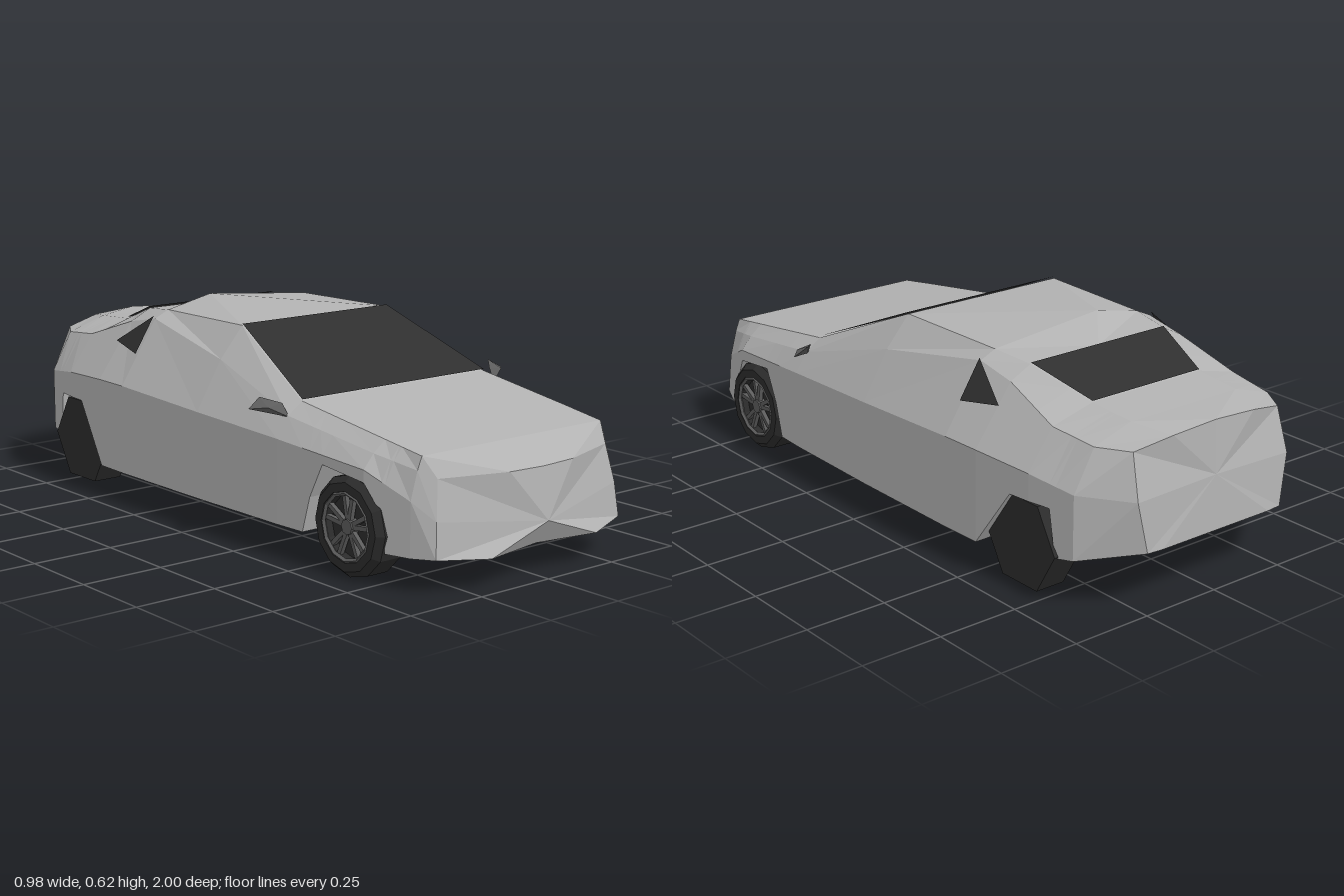
import * as THREE from 'three';
import { ConvexGeometry } from 'three/addons/geometries/ConvexGeometry.js';

const mat = (name, color, side = THREE.FrontSide) => {
  const m = new THREE.MeshStandardMaterial({ color, side });
  m.name = name;
  return m;
};

// Flat-shaded mesh with a name
function part(name, geometry, material) {
  const g = geometry.index ? geometry.toNonIndexed() : geometry;
  g.computeVertexNormals();
  const mesh = new THREE.Mesh(g, material);
  mesh.name = name;
  return mesh;
}

function fromTriangles(tris) {
  const g = new THREE.BufferGeometry();
  g.setAttribute('position', new THREE.Float32BufferAttribute(tris.flat(2), 3));
  return g;
}

// Key stations along the car: z, then x and y of the belt, shoulder and roof edge
const stations = [
  [0.86, 0.378, 0.25, 0.355, 0.33, 0.34, 0.367],
  [0.72, 0.42, 0.315, 0.385, 0.355, 0.344, 0.387],
  [0.375, 0.44, 0.34, 0.4, 0.4, 0.35, 0.435],
  [0.01, 0.447, 0.355, 0.36, 0.5, 0.28, 0.592],
  [-0.38, 0.447, 0.37, 0.32, 0.565, 0.27, 0.588],
  [-0.51, 0.443, 0.37, 0.32, 0.54, 0.25, 0.575],
  [-0.71, 0.422, 0.36, 0.34, 0.475, 0.2, 0.51],
  [-0.86, 0.393, 0.34, 0.325, 0.46, 0.195, 0.5],
];
// Extra cuts that shape the wheel arches: z and arch height
const archCuts = [[0.785, 0], [0.775, 0.2], [0.72, 0.28], [0.56, 0.3], [0.51, 0.2], [0.48, 0],
  [-0.64, 0.28], [-0.71, 0.28], [-0.78, 0.28], [-0.8, 0]];

// Half cross-section at z, from floor centre round the wheel well and side to roof centre
function section(z, arch) {
  const i = Math.max(1, stations.findIndex((s) => s[0] <= z));
  const a = stations[i - 1], b = stations[i];
  const t = (a[0] - z) / (a[0] - b[0]);
  const [, beltX, beltY, shX, shY, edgeX, edgeY] = a.map((v, k) => THREE.MathUtils.lerp(v, b[k], t));
  const floor = 0.095 + Math.max(0, -0.51 - z) * 0.157;
  const sill = Math.max(floor, arch);
  const top = z === -0.38 ? [-0.11, 0.623] : [0, edgeY];
  return [[0, floor], [0.31, floor], [0.31, sill], [beltX, sill], [beltX, beltY],
    [shX, shY], [edgeX, edgeY], top].map(([x, y]) => [x, y, z]);
}

function bodyGeometry() {
  const nose = [[0, 0.09, 0.95], [0.2, 0.09, 0.985], [0.2, 0.09, 0.985], [0.35, 0.1, 0.93],
    [0.34, 0.2, 0.92], [0.32, 0.31, 0.9], [0.12, 0.31, 0.965], [0, 0.31, 0.975]];
  const tail = [[0, 0.18, -1], [0.2, 0.18, -1], [0.2, 0.18, -1], [0.25, 0.18, -0.995],
    [0.28, 0.33, -0.985], [0.27, 0.46, -0.95], [0.15, 0.485, -0.975], [0, 0.495, -0.98]];
  const plain = stations.map((s) => s[0]).filter((z) => !archCuts.some((c) => c[0] === z));
  const cuts = plain.map((z) => [z, 0]).concat(archCuts).sort((a, b) => b[0] - a[0]);
  const rows = [nose];
  for (const [z, arch] of cuts) rows.push(section(z, arch));
  rows.push(tail);

  const tris = [];
  const last = nose.length - 1;
  const end = rows.length - 1;
  for (const side of [1, -1]) {
    // Centre-line points are shared by both halves
    const at = (i, j) => {
      const [x, y, z] = rows[i][j];
      return [j === 0 || j === last ? x : x * side, y, z];
    };
    const tri = (a, b, c) => tris.push(side > 0 ? [a, b, c] : [a, c, b]);
    for (let j = 0; j < last; j++) {
      for (let i = 0; i < end; i++) {
        tri(at(i, j), at(i + 1, j), at(i + 1, j + 1));
        tri(at(i, j), at(i + 1, j + 1), at(i, j + 1));
      }
      // Front and rear faces, with the lower intake folded under the nose
      tri([0, 0.162, 0.995], at(0, j), at(0, j + 1));
      tri([0, 0.34, -0.99], at(end, j + 1), at(end, j));
    }
  }
  return fromTriangles(tris);
}

// Flat pane lifted slightly off the body
function pane(points, lift) {
  const p = points.map(([x, y, z]) => [x + lift[0], y + lift[1], z + lift[2]]);
  const tris = [];
  for (let i = 1; i < p.length - 1; i++) tris.push([p[0], p[i], p[i + 1]]);
  return fromTriangles(tris);
}

// Four-cornered pane, symmetric about x = 0, from its front and back edges [half width, y, z]
const crossPane = ([fx, fy, fz], [bx, by, bz], lift) =>
  pane([[-fx, fy, fz], [fx, fy, fz], [bx, by, bz], [-bx, by, bz]], lift);

// Front wheel: tyre with a recessed hub and paired spokes, axle along x
function frontWheel(rubber, metal) {
  const wheel = new THREE.Group();
  const profile = [[0, 0.32], [0.135, 0.32], [0.143, 0.335], [0.143, 0.405], [0.125, 0.425],
    [0.1, 0.425], [0.09, 0.395], [0, 0.395]].map(([r, h]) => new THREE.Vector2(r, h));
  const tyre = part('tyre', new THREE.LatheGeometry(profile, 12), rubber);
  tyre.rotation.z = -Math.PI / 2;
  const ring = part('rimRing', new THREE.TorusGeometry(0.095, 0.007, 4, 12), metal);
  ring.rotation.y = Math.PI / 2;
  ring.position.x = 0.42;
  const hub = part('hub', new THREE.CylinderGeometry(0.022, 0.026, 0.025, 8), metal);
  hub.rotation.z = -Math.PI / 2;
  hub.position.x = 0.407;
  wheel.add(tyre, ring, hub);
  for (let i = 0; i < 10; i++) {
    const a = Math.floor(i / 2) * Math.PI * 0.4 + (i % 2 ? 0.2 : -0.2);
    const spoke = part('spoke', new THREE.BoxGeometry(0.014, 0.08, 0.013), metal);
    spoke.position.set(0.408, Math.cos(a) * 0.055, Math.sin(a) * 0.055);
    spoke.rotation.x = a;
    wheel.add(spoke);
  }
  return wheel;
}

export function createModel() {
  const car = new THREE.Group();
  car.name = 'car';
  const paint = mat('bodyGrey', 0xb2b2b2, THREE.DoubleSide);
  const glass = mat('darkGlass', 0x2f2f2f, THREE.DoubleSide);
  const rubber = mat('tyreBlack', 0x2c2c2c);
  const metal = mat('rimGrey', 0x5c5c5c);

  car.add(part('body', bodyGeometry(), paint));
  car.add(part('windscreen',
    crossPane([0.35, 0.435, 0.375], [0.28, 0.592, 0.01], [0, 0.005, 0.002]), glass));
  car.add(part('rearWindow',
    crossPane([0.25, 0.575, -0.51], [0.2, 0.51, -0.71], [0, 0.005, -0.002]), glass));

  for (const s of [1, -1]) {
    const side = s > 0 ? 'left' : 'right';

    // Small triangular side window
    const corners = [[s * 0.388, 0.46, -0.38], [s * 0.363, 0.48, -0.52], [s * 0.318, 0.57, -0.38]];
    if (s < 0) corners.reverse();
    car.add(part(side + 'SideWindow', pane(corners, [s * 0.007, 0.004, 0]), glass));

    // Door mirror
    const mirror = [[0.395, 0.395, 0.375], [0.4, 0.432, 0.35], [0.442, 0.447, 0.3],
      [0.488, 0.42, 0.31], [0.45, 0.425, 0.35]].map(([x, y, z]) => new THREE.Vector3(s * x, y, z));
    car.add(part(side + 'Mirror', new ConvexGeometry(mirror), metal));

    const front = frontWheel(rubber, metal);
    front.name = side + 'FrontWheel';
    front.position.set(0, 0.143, 0.65);
    front.rotation.y = s > 0 ? 0 : Math.PI;
    car.add(front);

    // Rear wheel: plain six-sided block
    const rear = part(side + 'RearWheel', new THREE.CylinderGeometry(0.145, 0.145, 0.095, 6), rubber);
    rear.rotation.z = -Math.PI / 2;
    rear.position.set(s * 0.3675, 0.148, -0.667);
    car.add(rear);
  }
  return car;
}
